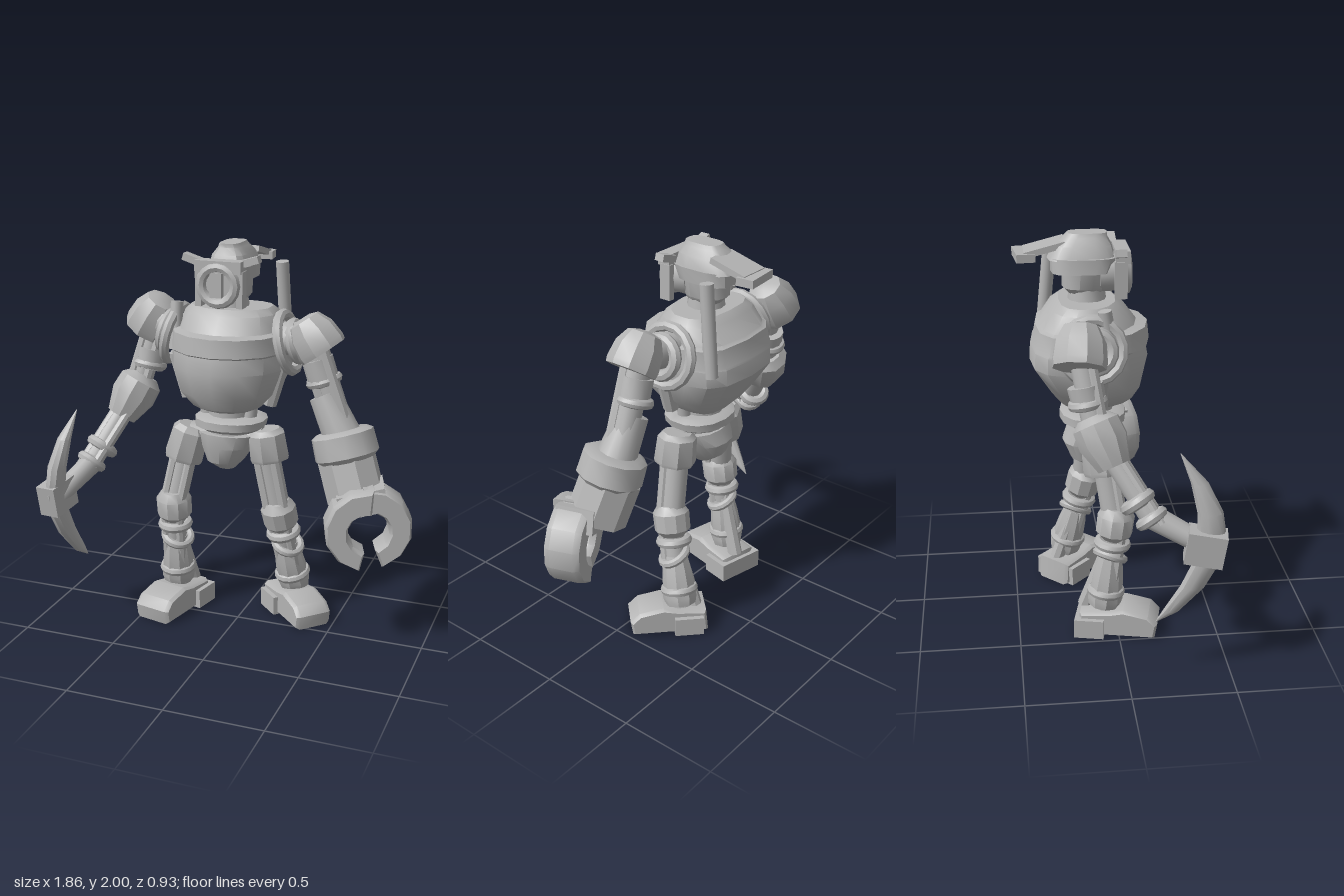
import * as THREE from 'three';
import { toCreasedNormals } from 'three/addons/utils/BufferGeometryUtils.js';

const V = (a) => new THREE.Vector3(...a);

export function createModel() {
  const root = new THREE.Group();
  const grey = new THREE.MeshStandardMaterial({ color: 0xb4b4b4 });
  grey.name = 'grey metal';

  const add = (name, geo) => {
    const m = new THREE.Mesh(toCreasedNormals(geo, 0.6), grey);
    m.name = name;
    root.add(m);
    return m;
  };
  // Turned part from a to b; profile lists [radius, fraction along the axis]
  const turn = (name, a, b, profile, sides = 12) => {
    const d = V(b).sub(V(a)), len = d.length();
    const pts = [[0, profile[0][1]], ...profile, [0, profile.at(-1)[1]]];
    const m = add(name, new THREE.LatheGeometry(pts.map(([r, t]) => new THREE.Vector2(r, t * len)), sides));
    m.position.copy(V(a));
    m.quaternion.setFromUnitVectors(new THREE.Vector3(0, 1, 0), d.normalize());
    return m;
  };
  const rod = (name, a, b, r0, r1 = r0, sides = 12) => turn(name, a, b, [[r0, 0], [r1, 1]], sides);
  const ring = (name, p, dir, R, t) => {
    const m = add(name, new THREE.TorusGeometry(R, t, 8, 16));
    m.position.copy(V(p));
    m.quaternion.setFromUnitVectors(new THREE.Vector3(0, 0, 1), V(dir).normalize());
    return m;
  };
  const box = (name, size, p, rot = [0, 0, 0]) => {
    const m = add(name, new THREE.BoxGeometry(...size));
    m.position.set(...p);
    m.rotation.set(...rot);
    return m;
  };
  // Stacked cross-sections; rows are [y, xMin, xMax, zBack, zFront]; kb and kf square the back and front corners
  const loft = (name, rows, n = 14, kb = 0.85, kf = kb) => {
    const pos = [], idx = [];
    const pw = (v, k) => Math.sign(v) * Math.abs(v) ** k;
    for (const [y, x0, x1, z0, z1] of rows) {
      for (let j = 0; j < n; j++) {
        const t = ((j + 0.5) / n) * Math.PI * 2, k = Math.sin(t) < 0 ? kb : kf;
        pos.push((x0 + x1) / 2 + ((x1 - x0) / 2) * pw(Math.cos(t), k), y, (z0 + z1) / 2 + ((z1 - z0) / 2) * pw(Math.sin(t), k));
      }
    }
    for (let i = 0; i < rows.length - 1; i++) {
      for (let j = 0; j < n; j++) {
        const a = i * n + j, b = i * n + ((j + 1) % n);
        idx.push(a, a + n, b + n, a, b + n, b);
      }
    }
    const top = (rows.length - 1) * n;
    for (let j = 1; j < n - 1; j++) idx.push(0, j, j + 1, top, top + j + 1, top + j);
    const g = new THREE.BufferGeometry();
    g.setAttribute('position', new THREE.Float32BufferAttribute(pos, 3));
    g.setIndex(idx);
    return add(name, g);
  };
  // Limb segment: a core with two thin rods alongside
  const strut = (name, a, b, r) => {
    rod(name, a, b, r);
    for (const s of [-1, 1]) {
      const off = ([x, y, z]) => [x + s * r * 0.7, y, z + r * 0.6];
      rod(name + 'Piston', off(a), off(b), r * 0.45, r * 0.45, 8);
    }
  };

  // Torso, collar lip, waist and pelvis
  loft('torso', [
    [1.15, -0.22, 0.06, -0.24, 0.04], [1.18, -0.27, 0.11, -0.27, 0.11], [1.25, -0.34, 0.175, -0.32, 0.15],
    [1.38, -0.385, 0.225, -0.405, 0.18], [1.46, -0.385, 0.225, -0.4, 0.165], [1.47, -0.385, 0.225, -0.395, 0.185],
    [1.56, -0.375, 0.22, -0.375, 0.175], [1.57, -0.35, 0.19, -0.355, 0.12], [1.65, -0.32, 0.165, -0.3, 0.06],
    [1.68, -0.29, 0.13, -0.26, 0.02]], 14, 0.65, 1);
  rod('waist', [-0.08, 0.98, -0.1], [-0.08, 1.2, -0.1], 0.11);
  for (const s of [-1, 1]) rod('waistPiston', [-0.08 + s * 0.11, 1.04, -0.08], [-0.08 + s * 0.13, 1.22, -0.08], 0.035);
  loft('waistBelt', [[1.04, -0.22, 0.08, -0.23, 0.04], [1.06, -0.26, 0.11, -0.26, 0.07],
    [1.1, -0.26, 0.12, -0.26, 0.07], [1.115, -0.23, 0.09, -0.23, 0.04]], 14, 0.9);
  loft('pelvis', [[0.82, -0.14, -0.05, -0.15, -0.05], [0.86, -0.2, -0.01, -0.21, 0.0],
    [0.95, -0.23, 0.05, -0.25, 0.03], [1.02, -0.24, 0.08, -0.22, 0.03]]);
  for (const s of [-1, 1]) {
    rod('ribStrut', [-0.08 + s * 0.22, 1.19, -0.08], [-0.08 + s * 0.28, 1.42, -0.08], 0.04, 0.05, 8);
    ring('shoulderHoop', [-0.08 + s * 0.305, 1.51, -0.12], [1, 0.25 * s, 0], 0.145, 0.027);
    ring('shoulderSeal', [-0.08 + s * 0.35, 1.52, -0.12], [1, 0.25 * s, 0], 0.09, 0.03);
  }
  rod('stubPipe', [-0.35, 1.45, -0.02], [-0.35, 1.69, -0.06], 0.033);
  rod('exhaustPipe', [0.15, 1.43, -0.33], [0.135, 1.885, -0.285], 0.034);

  // Head: skull, round mask with grille, brim, cap and rear flap
  rod('neck', [-0.08, 1.64, -0.12], [-0.08, 1.74, -0.12], 0.1, 0.085);
  loft('skull', [[1.7, -0.14, -0.01, -0.2, -0.04], [1.74, -0.17, 0.02, -0.24, -0.02], [1.86, -0.18, 0.03, -0.24, 0.0]]);
  rod('snout', [-0.08, 1.81, -0.06], [-0.08, 1.81, 0.05], 0.1);
  ring('maskRim', [-0.08, 1.81, 0.065], [0, 0, 1], 0.09, 0.027);
  box('maskGrille', [0.06, 0.12, 0.04], [-0.085, 1.81, 0.065]);
  for (const s of [-1, 1]) {
    box('maskBar', [0.032, 0.18, 0.06], [-0.077 + s * 0.108, 1.79, 0.035]);
    box('brimHorn', [0.1, 0.035, 0.05], [-0.077 + s * 0.145, 1.925, 0.02 - s * 0.01], [0, 0, s * 0.3]);
  }
  box('frontBrim', [0.24, 0.06, 0.07], [-0.077, 1.9, 0.045]);
  loft('hatBrim', [[1.82, -0.2, 0.04, -0.295, 0.0], [1.89, -0.19, 0.045, -0.295, 0.03]], 14, 0.6);
  loft('cap', [[1.88, -0.18, 0.04, -0.31, 0.02], [1.945, -0.16, 0.025, -0.27, 0.0], [1.98, -0.13, -0.005, -0.23, -0.02],
    [2.0, -0.12, -0.015, -0.21, -0.02]], 14, 0.6);
  box('rearFlap', [0.16, 0.03, 0.2], [-0.05, 1.928, -0.32], [-0.25, 0, 0]);
  box('flapEnd', [0.185, 0.04, 0.09], [-0.05, 1.893, -0.42], [0, 0.1, 0]);

  // Shoulder pads
  const padProfile = [[0.125, 0], [0.13, 0.15], [0.12, 0.6], [0.085, 0.95], [0.04, 1.03]];
  turn('rightShoulderPad', [-0.585, 1.5, -0.2], [-0.48, 1.67, -0.18], padProfile, 9);
  turn('leftShoulderPad', [0.425, 1.49, -0.07], [0.315, 1.645, -0.07], padProfile, 9);
  rod('rightShoulderAxle', [-0.36, 1.53, -0.13], [-0.54, 1.56, -0.19], 0.08);
  rod('leftShoulderAxle', [0.18, 1.53, -0.11], [0.38, 1.55, -0.08], 0.085);

  // Right arm, ending in the pick
  strut('rightUpperArm', [-0.5, 1.58, -0.19], [-0.6, 1.22, -0.13], 0.06);
  rod('rightUpperCuff', [-0.54, 1.4, -0.17], [-0.56, 1.3, -0.15], 0.085, 0.08);
  ring('rightArmBand', [-0.558, 1.32, -0.16], [0.15, 1, -0.2], 0.07, 0.025);
  turn('rightElbow', [-0.58, 1.26, -0.14], [-0.68, 1.05, -0.05], [[0.075, 0], [0.115, 0.15], [0.12, 0.5], [0.08, 1]], 10);
  strut('rightForearm', [-0.64, 1.13, -0.08], [-0.79, 0.82, 0.12], 0.055);
  ring('rightWristBand', [-0.75, 0.9, 0.05], [-0.4, -0.8, 0.55], 0.06, 0.03);
  ring('rightWristBand', [-0.785, 0.83, 0.11], [-0.4, -0.8, 0.55], 0.055, 0.028);
  rod('pickHandle', [-0.77, 0.84, 0.1], [-0.86, 0.71, 0.36], 0.06, 0.05);
  box('pickSocket', [0.11, 0.16, 0.18], [-0.865, 0.715, 0.35], [0.15, -0.15, 0.05]);
  loft('pickBlade', [
    [0.3, -0.822, -0.818, 0.13, 0.135], [0.36, -0.85, -0.805, 0.16, 0.24], [0.5, -0.885, -0.805, 0.24, 0.36],
    [0.62, -0.9, -0.81, 0.29, 0.42], [0.74, -0.905, -0.815, 0.31, 0.45], [0.88, -0.895, -0.8, 0.31, 0.43],
    [1.02, -0.86, -0.79, 0.28, 0.36], [1.15, -0.795, -0.79, 0.235, 0.24]], 10, 1);

  // Left arm with heavy bracelet
  strut('leftUpperArm', [0.36, 1.56, -0.08], [0.54, 1.06, -0.08], 0.065);
  rod('leftUpperCuff', [0.39, 1.45, -0.08], [0.43, 1.33, -0.08], 0.08);
  ring('leftArmBand', [0.425, 1.34, -0.09], [-0.33, 1, 0], 0.07, 0.025);
  rod('leftForearm', [0.43, 1.27, -0.08], [0.54, 1.06, -0.06], 0.08, 0.1);
  turn('leftBracelet', [0.53, 1.1, -0.06], [0.575, 0.955, -0.04], [[0.13, 0], [0.16, 0.12], [0.165, 0.85], [0.14, 1]], 11);
  rod('leftWrist', [0.56, 0.97, -0.05], [0.63, 0.77, -0.01], 0.15, 0.15, 8);
  box('leftPalm', [0.24, 0.12, 0.2], [0.67, 0.79, 0.03], [0, 0.3, 0.25]);

  // Claw: two tapering prongs, set one ahead of the other, with a gap at the bottom
  const prong = (name, from, to, depth, z) => {
    const s = new THREE.Shape();
    const N = 6;
    for (let i = 0; i <= 2 * N + 1; i++) {
      const f = i <= N ? i / N : (2 * N + 1 - i) / N;
      const a = from + (to - from) * f, r = i <= N ? 0.2 : 0.095 + 0.03 * f;
      s[i ? 'lineTo' : 'moveTo'](r * Math.cos(a), r * Math.sin(a));
    }
    const g = new THREE.ExtrudeGeometry(s, { depth, bevelSize: 0.013, bevelThickness: 0.03, bevelSegments: 1 });
    g.translate(0, 0, -depth / 2);
    const m = add(name, g);
    m.position.set(0.71, 0.66, z);
    m.rotation.y = 0.35;
  };
  prong('clawFingers', 1.5, 4.5, 0.11, 0.085);
  prong('clawThumb', 1.7, -1.2, 0.12, 0.045);

  // Legs: padded hips, jointed knees, banded shins with a rear piston, and wedge feet
  const sole = new THREE.Shape([[-0.18, 0], [0.19, 0], [0.2, 0.06], [0.16, 0.1], [0.04, 0.125], [-0.03, 0.11], [-0.17, 0.1]]
    .map((p) => new THREE.Vector2(...p)));
  const legs = [
    { side: 'right', hip: [-0.29, 1.0, -0.07], knee: [-0.365, 0.6, -0.01], ankle: [-0.37, 0.13, -0.07], rear: [-0.32, 0.12, -0.16],
      pad: [[-0.28, 1.035, -0.075], [-0.33, 0.85, -0.055]], foot: [-0.37, 0.005, 0.0], turn: -0.22, w: 0.21, heel: 0.13 },
    { side: 'left', hip: [0.11, 1.0, -0.1], knee: [0.19, 0.58, -0.12], ankle: [0.25, 0.13, -0.23], rear: [0.19, 0.12, -0.27],
      pad: [[0.115, 1.05, -0.1], [0.14, 0.885, -0.1]], foot: [0.27, 0.005, -0.17], turn: 0.8, w: 0.2, heel: 0.09 }];
  for (const { side, hip, knee, ankle, rear, pad, foot, turn: yaw, w, heel } of legs) {
    const at = (f, dx = 0) => V(knee).lerp(V(ankle), f).add(V([dx, 0, 0])).toArray();
    const along = V(ankle).sub(V(knee)).toArray();
    rod(side + 'HipJoint', [-0.08, 0.97, -0.1], hip, 0.06);
    turn(side + 'HipPad', pad[1], pad[0], [[0.1, 0], [0.107, 0.1], [0.1, 0.85], [0.075, 1]], 8);
    strut(side + 'Thigh', hip, knee, 0.062);
    turn(side + 'Knee', at(0.18), at(-0.18), [[0.06, 0], [0.092, 0.2], [0.094, 0.75], [0.065, 1]], 10);
    ring(side + 'KneeBand', at(0.24), along, 0.068, 0.026);
    strut(side + 'Shin', knee, ankle, 0.056);
    rod(side + 'CalfPiston', at(0.15), rear, 0.035, 0.04, 8);
    turn(side + 'ShinGuard', at(0.4), at(0.97), [[0.06, 0], [0.075, 0.3], [0.09, 0.85], [0.08, 1]], 9);
    ring(side + 'CalfCable', at(0.4, 0.01), [0.4, 1, 0.4], 0.07, 0.022);
    ring(side + 'AnkleBand', at(0.8), along, 0.073, 0.025);
    const g = new THREE.ExtrudeGeometry(sole, { depth: w - 0.04, bevelSize: 0.012, bevelThickness: 0.02, bevelSegments: 1 });
    g.translate(0, 0.008, -(w - 0.04) / 2).rotateY(-Math.PI / 2);
    const f = add(side + 'Foot', g);
    f.position.set(...foot);
    f.rotation.y = yaw;
    box(side + 'Heel', [w + 0.05, 0.1, 0.15], [foot[0] - Math.sin(yaw) * heel, 0.05, foot[2] - Math.cos(yaw) * heel], [0, yaw, 0]);
  }
  return root;
}
